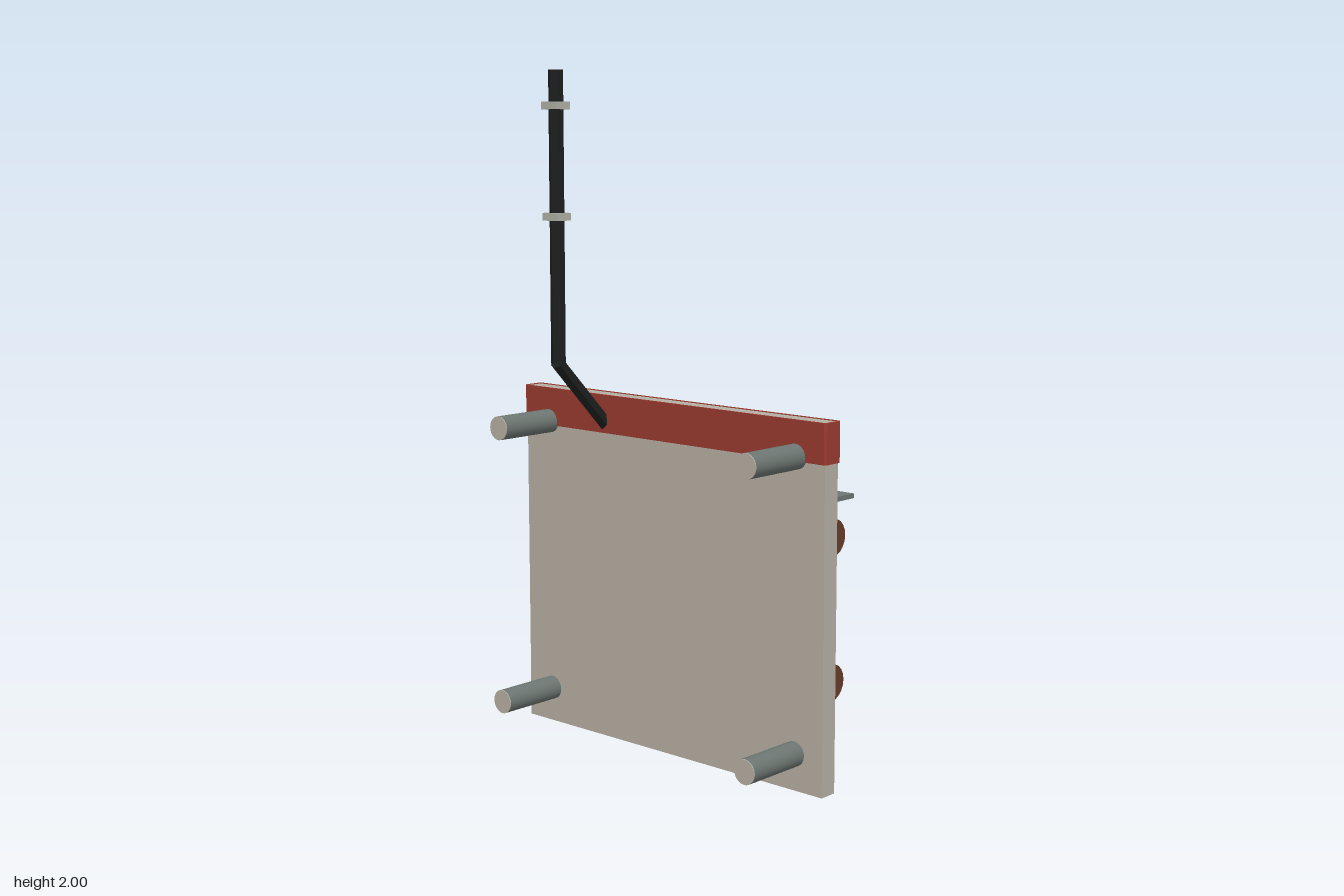
import * as THREE from 'three';

const mat = (name, color, flat = false) => {
  const m = new THREE.MeshStandardMaterial({ color, flatShading: flat });
  m.name = name;
  return m;
};

export function createModel() {
  const root = new THREE.Group();
  root.name = 'wallControlPanel';
  const beige = mat('beige paint', 0xb5aea3);
  const bandRed = mat('band red', 0x9a3a2f);
  const steel = mat('grey green steel', 0x6c7571);
  const dark = mat('dark trim', 0x2e3231);
  const black = mat('black conduit', 0x1d1f1f, true);
  const brown = mat('brown bakelite', 0x643c2b);
  const red = mat('button red', 0xb5352a);
  const lampRed = mat('lamp red', 0xdc2f22);
  const dial = mat('dial white', 0xd3cec2);
  const clipGrey = mat('clip grey', 0xb0afa6);

  const add = (name, geo, material, x, y, z, parent = root) => {
    const m = new THREE.Mesh(geo, material);
    m.name = name;
    m.position.set(x, y, z);
    parent.add(m);
    return m;
  };
  const box = (name, w, h, d, material, x, y, z) =>
    add(name, new THREE.BoxGeometry(w, h, d), material, x, y, z);
  // Cylinder lying along z or x
  const rod = (name, r, len, axis, material, x, y, z, sides = 24, r2 = r) => {
    const g = new THREE.CylinderGeometry(r, r2, len, sides);
    if (axis === 'z') g.rotateX(-Math.PI / 2);
    if (axis === 'x') g.rotateZ(-Math.PI / 2);
    return add(name, g, material, x, y, z);
  };
  // Rectangle outline with cut corners
  const cutRect = (w, h, c) => new THREE.Shape([
    [-w + c, -h], [w - c, -h], [w, -h + c], [w, h - c],
    [w - c, h], [-w + c, h], [-w, h - c], [-w, -h + c],
  ].map(([x, y]) => new THREE.Vector2(x, y)));

  // Backboard and the red band wrapped round its top
  box('backboard', 1.17, 1.05, 0.056, beige, 0, 0.525, 0.073);
  const ring = cutRect(0.591, 0.034, 0.006);
  ring.holes.push(new THREE.Path([
    [-0.584, -0.0275], [-0.584, 0.0275], [0.584, 0.0275], [0.584, -0.0275],
  ].map(([x, y]) => new THREE.Vector2(x, y))));
  const bandGeo = new THREE.ExtrudeGeometry(ring, { depth: 0.115, bevelEnabled: false });
  bandGeo.rotateX(-Math.PI / 2);
  add('redBand', bandGeo, bandRed, 0, 0.937, 0.073);

  // Standoffs with pale ends, and their bolts on the other face
  for (const x of [-0.485, 0.485]) {
    for (const y of [0.107, 0.95]) {
      rod('standoff', 0.036, 0.213, 'z', steel, x, y, 0.2055);
      rod('standoffEnd', 0.036, 0.003, 'z', beige, x, y, 0.3135);
      rod('boardBolt', 0.019, 0.02, 'z', dark, x, y, 0.035, 8);
    }
  }

  // Control box with cut edges
  const boxGeo = new THREE.ExtrudeGeometry(cutRect(0.3, 0.247, 0.015), {
    depth: 0.24, bevelEnabled: true, bevelSegments: 1, bevelSize: 0.02, bevelThickness: 0.02,
  });
  add('controlBox', boxGeo, steel, 0, 0.467, -0.22);
  box('rainHood', 0.74, 0.014, 0.35, steel, 0, 0.767, -0.135);

  // Mounting flanges with bolts
  for (const s of [-1, 1]) {
    box('mountingFlange', 0.15, 0.4, 0.01, steel, s * 0.37, 0.475, 0.035);
    for (const y of [0.32, 0.62])
      rod('flangeBolt', 0.018, 0.018, 'z', dark, s * 0.39, y, 0.024, 8);
  }

  // Face plate with dark border
  box('faceBorder', 0.6, 0.46, 0.012, dark, 0, 0.465, -0.245);
  box('facePlate', 0.58, 0.44, 0.008, steel, 0, 0.465, -0.253);

  // Gauge with needle
  rod('gaugeRim', 0.093, 0.006, 'z', dark, 0.16, 0.55, -0.257, 32);
  rod('gaugeDial', 0.088, 0.006, 'z', dial, 0.16, 0.55, -0.26, 32);
  const needle = box('gaugeNeedle', 0.008, 0.085, 0.003, black, 0.188, 0.58, -0.2645);
  needle.rotation.z = -0.75;

  // Knob, lamp and push button
  rod('knob', 0.034, 0.036, 'z', brown, 0.155, 0.34, -0.274, 16);
  rod('lampBase', 0.032, 0.008, 'z', dark, -0.1, 0.63, -0.259, 20);
  rod('lamp', 0.027, 0.026, 'z', lampRed, -0.1, 0.63, -0.27, 20);
  rod('buttonCollar', 0.085, 0.024, 'z', steel, -0.107, 0.405, -0.267, 32, 0.07)
    .rotation.x = 0;
  rod('buttonStem', 0.05, 0.02, 'z', dark, -0.107, 0.405, -0.285, 24);
  const cap = new THREE.LatheGeometry([
    [0, 0], [0.06, 0], [0.066, 0.006], [0.066, 0.014], [0.058, 0.022], [0, 0.023],
  ].map(([x, y]) => new THREE.Vector2(x, y)), 32);
  cap.rotateX(-Math.PI / 2);
  add('pushButton', cap, red, -0.107, 0.405, -0.292);

  // Handset on two cradles
  for (const [y, yc] of [[0.68, 0.595], [0.252, 0.32]]) {
    box('handsetCradle', 0.067, 0.102, 0.165, dark, 0.3515, yc, -0.127);
    rod('handsetEar', 0.055, 0.075, 'x', brown, 0.4025, y, -0.125, 20);
  }
  rod('handsetGrip', 0.024, 0.43, 'y', brown, 0.412, 0.466, -0.125, 16);
  const cord = new THREE.CatmullRomCurve3([
    [0.4, 0.22, -0.12], [0.385, 0.185, -0.09], [0.34, 0.18, -0.065], [0.29, 0.21, -0.06],
  ].map((p) => new THREE.Vector3(...p)));
  add('handsetCord', new THREE.TubeGeometry(cord, 16, 0.012, 8), black, 0, 0, 0);

  // Hexagonal conduit: down, through the board, into the box
  const path = [[2, 0.285], [1.16, 0.285], [0.868, 0], [0.72, 0]];
  for (let i = 0; i < 3; i++) {
    const a = new THREE.Vector3(-0.255, path[i][0], path[i][1]);
    const b = new THREE.Vector3(-0.255, path[i + 1][0], path[i + 1][1]);
    const g = new THREE.CylinderGeometry(0.022, 0.022, a.distanceTo(b) + (i === 1 ? 0.012 : 0), 6);
    const m = add('conduit', g, black, 0, 0, 0);
    m.position.copy(a).add(b).multiplyScalar(0.5);
    m.rotation.x = Math.atan2(a.z - b.z, a.y - b.y);
  }
  for (const y of [1.585, 1.9])
    box('conduitClip', 0.06, 0.022, 0.056, clipGrey, -0.255, y, 0.286);

  return root;
}
